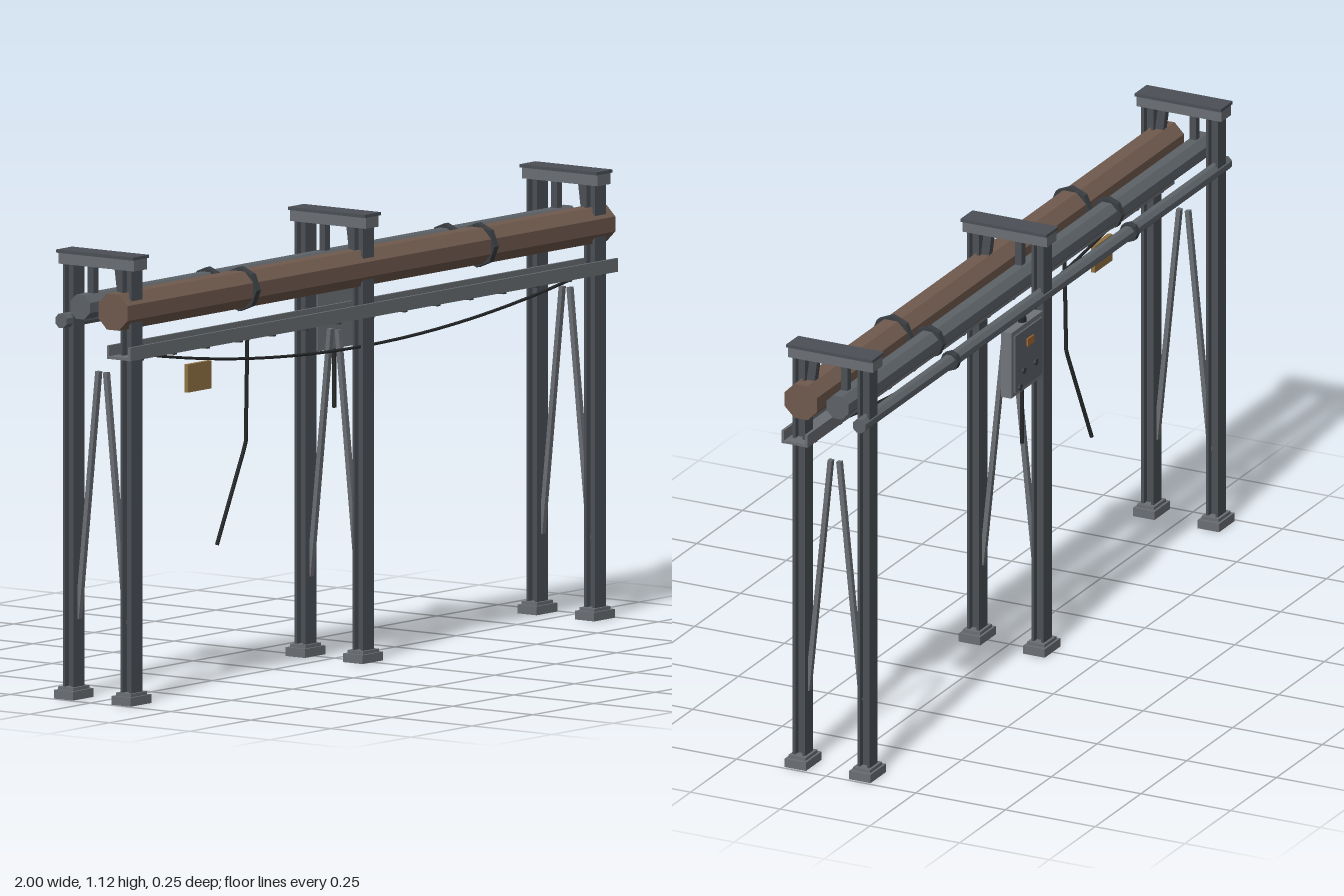
import * as THREE from 'three';

const mat = (name, color, extra = {}) => {
  const m = new THREE.MeshStandardMaterial({ color, ...extra });
  m.name = name;
  return m;
};

export function createModel() {
  const model = new THREE.Group();
  model.name = 'pipeRack';

  const postSteel = mat('darkSteel', 0x4b5056, { flatShading: true });
  const beamSteel = mat('lightSteel', 0x6a6e73, { flatShading: true });
  const rust = mat('rustBrown', 0x6f594d, { flatShading: true });
  const pipeGrey = mat('pipeGrey', 0x5d6268, { flatShading: true });
  const clampDark = mat('clampDark', 0x3a3e42, { flatShading: true });
  const cableBlack = mat('cableBlack', 0x262829);
  const panelGrey = mat('panelGrey', 0x707479, { flatShading: true });
  const signYellow = mat('signOchre', 0x8f7142, { flatShading: true });
  const amber = mat('amber', 0xa5692f, { flatShading: true });

  const add = (parent, name, geo, material, x = 0, y = 0, z = 0) => {
    const mesh = new THREE.Mesh(geo, material);
    mesh.name = name;
    mesh.position.set(x, y, z);
    parent.add(mesh);
    return mesh;
  };
  const box = (parent, name, material, w, h, d, x, y, z) =>
    add(parent, name, new THREE.BoxGeometry(w, h, d), material, x, y, z);

  // Bar in the y-z plane between two [y, z] points
  const bar = (parent, name, material, w, t, [y0, z0], [y1, z1]) => {
    const m = box(parent, name, material, w, Math.hypot(y1 - y0, z1 - z0), t, 0, (y0 + y1) / 2, (z0 + z1) / 2);
    m.rotation.x = Math.atan2(z1 - z0, y1 - y0);
    return m;
  };

  // Octagonal cylinder lying along x
  const rod = (parent, name, material, r, length, x, y, z, turn = 0) => {
    const geo = new THREE.CylinderGeometry(r, r, length, 8);
    geo.rotateY(turn);
    geo.rotateZ(Math.PI / 2);
    return add(parent, name, geo, material, x, y, z);
  };

  const tube = (parent, name, points, r, segments) => {
    const path = new THREE.CurvePath();
    for (let i = 1; i < points.length; i++) path.add(new THREE.LineCurve3(points[i - 1], points[i]));
    return add(parent, name, new THREE.TubeGeometry(path, segments, r, 6), cableBlack);
  };

  // Three support frames
  for (const x of [-0.95, 0, 0.95]) {
    const frame = new THREE.Group();
    frame.name = 'supportFrame';
    frame.position.x = x;
    model.add(frame);
    for (const s of [1, -1]) {
      // H-section post
      box(frame, 'postWeb', postSteel, 0.012, 1.065, 0.03, 0, 0.5575, s * 0.09);
      for (const f of [1, -1])
        box(frame, 'postFlange', postSteel, 0.045, 1.065, 0.007, 0, 0.5575, s * 0.09 + f * 0.0135);
      box(frame, 'basePlate', beamSteel, 0.085, 0.022, 0.06, 0, 0.011, s * 0.09);
      box(frame, 'baseCap', beamSteel, 0.065, 0.008, 0.048, 0, 0.026, s * 0.09);
      bar(frame, 'brace', beamSteel, 0.014, 0.012, [0.2, s * 0.075], [0.825, s * 0.012]);
    }
    // Top crossbeam
    box(frame, 'crossbeam', beamSteel, 0.052, 0.03, 0.236, 0, 1.104, 0);
    box(frame, 'crossbeamCap', postSteel, 0.065, 0.008, 0.24, 0, 1.121, 0);
    // Pipe hangers
    bar(frame, 'mainPipeHanger', postSteel, 0.02, 0.022, [1.095, 0.055], [1.02, 0.065]);
    bar(frame, 'greyPipeHanger', postSteel, 0.02, 0.018, [1.095, -0.03], [1.01, -0.03]);
  }

  // Pipes: name, material, y, z, radius, clamp radius
  const pipes = [
    ['mainPipe', rust, 0.986, 0.07, 0.049, 0.056],
    ['middlePipe', pipeGrey, 0.99, -0.032, 0.033, 0.042],
    ['smallPipe', pipeGrey, 0.95, -0.092, 0.019, 0.025],
  ];
  for (const [name, material, y, z, r, clampR] of pipes) {
    rod(model, name, material, r, 2, 0, y, z, Math.PI / 8);
    for (const x of [-0.475, 0.5]) rod(model, 'pipeClamp', clampDark, clampR, 0.018, x, y, z);
  }

  // Cable tray
  box(model, 'trayFloor', beamSteel, 2, 0.007, 0.07, 0, 0.871, 0.088);
  for (const z of [0.121, 0.055]) box(model, 'trayWall', beamSteel, 2, 0.034, 0.007, 0, 0.884, z);
  for (let i = 0; i < 15; i++)
    box(model, 'trayRung', clampDark, 0.012, 0.007, 0.066, -0.945 + i * 0.135, 0.866, 0.088);

  // Sagging cable
  const sag = [];
  for (let i = 0; i <= 24; i++) {
    const t = i / 12 - 1;
    sag.push(new THREE.Vector3(t * 0.9, 0.79 + 0.08 * t * t, 0.09));
  }
  tube(model, 'saggingCable', sag, 0.004, 48);

  // Loose cable hanging from the tray
  tube(model, 'looseCable', [
    new THREE.Vector3(-0.475, 0.87, 0.09),
    new THREE.Vector3(-0.475, 0.6, 0.085),
    new THREE.Vector3(-0.55, 0.35, 0.052),
  ], 0.005, 24);

  // Warning sign
  box(model, 'sign', signYellow, 0.096, 0.07, 0.012, -0.675, 0.79, 0.088);

  // Control box on the back
  const panel = new THREE.Group();
  panel.name = 'controlBox';
  panel.position.set(0.137, 0.842, -0.105);
  model.add(panel);
  box(panel, 'boxBody', panelGrey, 0.172, 0.174, 0.028, 0, 0, 0);
  box(panel, 'boxDoor', pipeGrey, 0.148, 0.15, 0.006, 0, 0, -0.016);
  box(panel, 'indicator', amber, 0.034, 0.02, 0.006, -0.005, 0.038, -0.02);
  for (const [x, y] of [[-0.035, -0.03], [0.03, -0.03], [0.05, -0.068]]) {
    const knob = new THREE.CylinderGeometry(0.009, 0.009, 0.007, 8);
    knob.rotateX(Math.PI / 2);
    add(panel, 'knob', knob, clampDark, x, y, -0.02);
  }
  add(panel, 'boxConduit', new THREE.CylinderGeometry(0.006, 0.006, 0.16, 6), cableBlack, 0, -0.158, 0);
  add(panel, 'upperConduit', new THREE.CylinderGeometry(0.012, 0.012, 0.02, 6), cableBlack, 0, 0.09, 0);

  return model;
}
